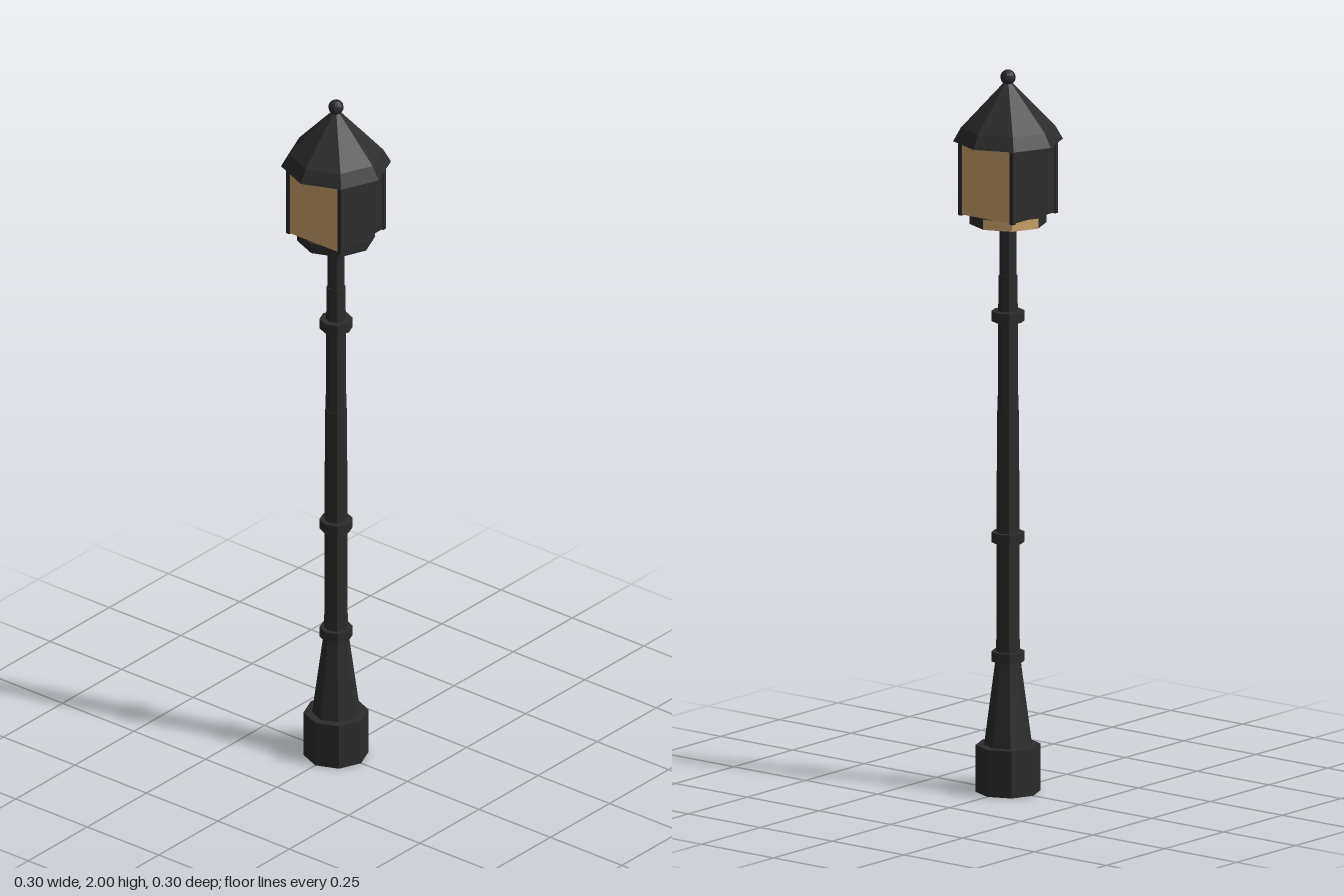
import * as THREE from 'three';

export function createModel() {
  const model = new THREE.Group();
  const iron = new THREE.MeshStandardMaterial({ color: 0x2c2c2d });
  const glass = new THREE.MeshStandardMaterial({ color: 0xd0a96e });
  iron.name = 'castIron';
  glass.name = 'amberGlass';
  iron.flatShading = glass.flatShading = true;

  const add = (name, geometry, material = iron, x = 0, y = 0, z = 0) => {
    const mesh = new THREE.Mesh(geometry, material);
    mesh.name = name;
    mesh.position.set(x, y, z);
    model.add(mesh);
    return mesh;
  };
  // Eight-sided section between two heights, corners on the axes
  const section = (name, y0, y1, r0, r1 = r0, material = iron, open = false) =>
    add(name, new THREE.CylinderGeometry(r1, r0, y1 - y0, 8, 1, open), material, 0, (y0 + y1) / 2);

  // Pedestal and stepped post
  section('base', 0, 0.13, 0.088);
  section('flare', 0.13, 0.365, 0.065, 0.034);
  section('lowerPost', 0.365, 1.055, 0.032, 0.03);
  section('middlePost', 1.055, 1.43, 0.028, 0.026);
  section('upperPost', 1.43, 1.58, 0.023);
  for (const y of [0.375, 0.705, 1.318]) section('collar', y - 0.014, y + 0.014, 0.045);

  // Lantern tray: iron on top and most sides, amber beneath and on the rear left flank
  section('tray', 1.575, 1.603, 0.105);
  const underside = add('trayUnderside', new THREE.CircleGeometry(0.105, 8), glass, 0, 1.574, 0);
  underside.rotation.x = Math.PI / 2;
  add('trayRearBand',
    new THREE.CylinderGeometry(0.106, 0.106, 0.028, 2, 1, true, Math.PI, Math.PI / 2), glass, 0, 1.589, 0);

  // Lantern: iron side panels, amber front and back panes, corner posts
  for (const s of [-1, 1]) {
    add('sidePanel', new THREE.BoxGeometry(0.008, 0.197, 0.172), iron, s * 0.09, 1.7015, 0);
    add('pane', new THREE.BoxGeometry(0.172, 0.197, 0.008), glass, 0, 1.7015, s * 0.09);
    for (const t of [-1, 1])
      add('cornerPost', new THREE.BoxGeometry(0.012, 0.2, 0.012), iron, s * 0.09, 1.7, t * 0.09);
  }
  add('lanternFloor', new THREE.BoxGeometry(0.17, 0.006, 0.17), iron, 0, 1.606, 0);

  // Two-pitch roof and finial
  section('roofSkirt', 1.805, 1.842, 0.149, 0.128, iron);
  section('roofCone', 1.842, 1.968, 0.128, 0.008, iron, true);
  add('finial', new THREE.SphereGeometry(0.021, 12, 8), iron, 0, 1.979, 0);

  return model;
}
